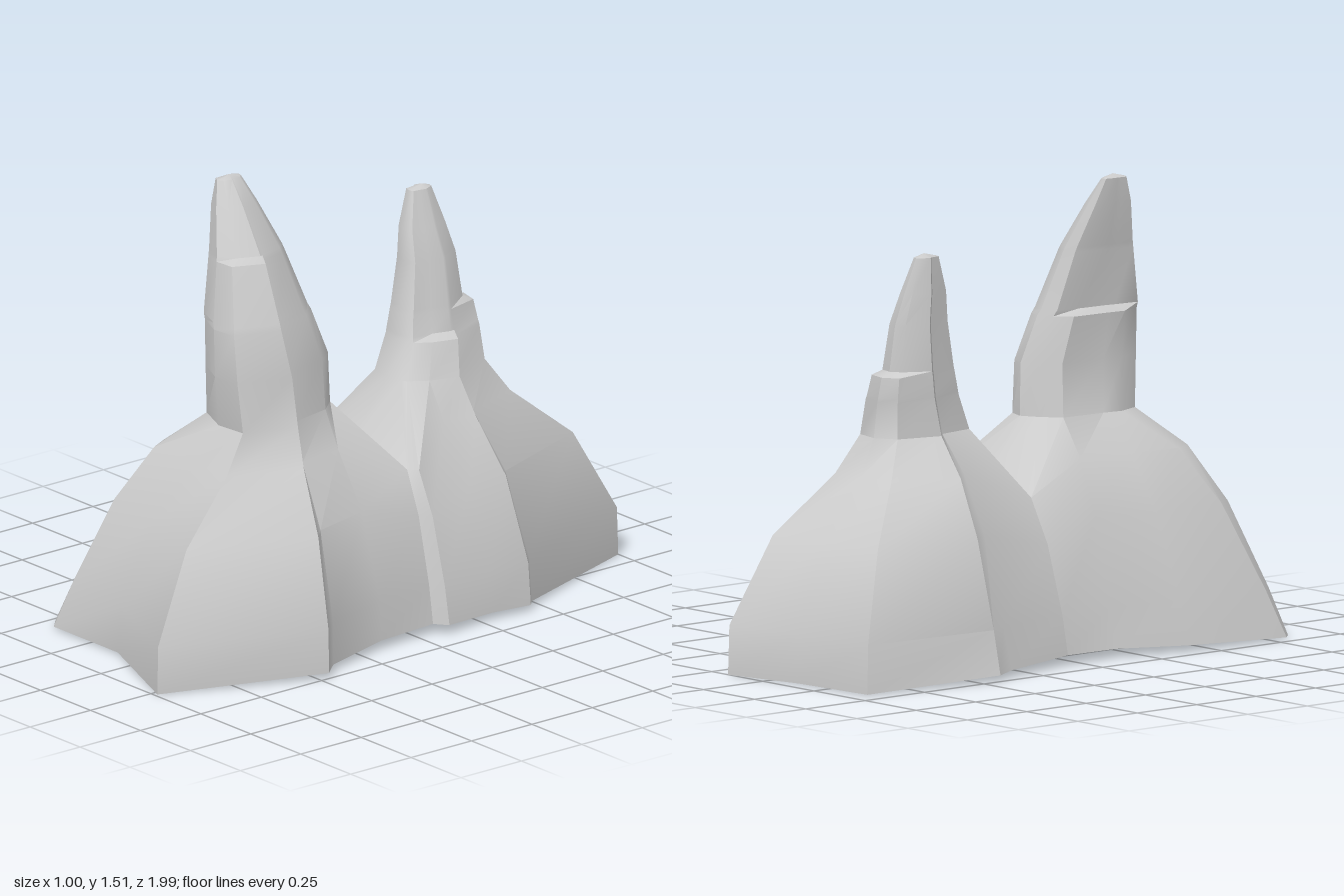
import * as THREE from 'three';
import { toCreasedNormals } from 'three/addons/utils/BufferGeometryUtils.js';

const lerp = THREE.MathUtils.lerp;
const ROW_Y = [0, 0.16, 0.44, 0.62, 0.74];   // foot to neck
const STRAIGHT = [0, 0.14, 0.40, 0.64, 1];   // inward travel of a straight flank
const BULGED = [0, 0.01, 0.34, 0.81, 1];     // inward travel of a swollen flank
const SEAM = [0, 0.15, 0.55, 1];             // travel of a seam line to the saddle

// A column runs from foot to neck. ledge: height above which it steps inward.
const flank = (bx, bz, nx, nz, bulge, ledge = 9) => ({ bx, bz, nx, nz, bulge, ledge });
const seam = (bx, bz, sx, sz, nx, nz, sy = 0.52) => ({ bx, bz, sx, sz, nx, nz, sy, ledge: 9 });

// Lower slope of one column
function slopePoint(c, r) {
  const y0 = 0.035 * (1 - Math.abs(c.bz));
  if (r === 4) return [c.nx, ROW_Y[4], c.nz];
  if (c.sy) {
    const k = SEAM[r];
    return [lerp(c.bx, c.sx, k), lerp(y0, c.sy, ROW_Y[r] / ROW_Y[3]), lerp(c.bz, c.sz, k)];
  }
  const k = lerp(STRAIGHT[r], BULGED[r], c.bulge);
  return [lerp(c.bx, c.nx, k), r ? ROW_Y[r] : y0, lerp(c.bz, c.nz, k)];
}

// Spire rings fit the neck outline into [y, xMin, xMax, zMin, zMax]
function spirePoint(c, neck, [y, x0, x1, z0, z1]) {
  const u = (c.nx - neck[1]) / (neck[2] - neck[1]);
  const v = (c.nz - neck[3]) / (neck[4] - neck[3]);
  const s = y > c.ledge ? 0.74 : 1;
  return [
    lerp(x0, x1, 0.5 + (u - 0.5) * s), y,
    lerp(z0, z1, 0.5 + (v - 0.5) * s),
  ];
}

// Skin a mound: the last column is the saddle and starts at the shoulder
function mound(name, columns, neck, rings) {
  const n = columns.length;
  const rows = ROW_Y.map((_, r) => columns.map((c) => slopePoint(c, r)));
  rings.forEach((ring) => rows.push(columns.map((c) => spirePoint(c, neck, ring))));
  const index = [];
  for (let r = 0; r < rows.length - 1; r++) {
    for (let i = 0; i < n; i++) {
      if (r < 3 && i >= n - 2) continue; // open towards the other mound
      const j = (i + 1) % n;
      const a = r * n + i, b = r * n + j;
      index.push(a, b, b + n, a, b + n, a + n);
    }
  }
  // Blunt tip
  const positions = rows.flat();
  const [y, x0, x1, z0, z1] = rings[rings.length - 1];
  const tip = positions.length, last = tip - n;
  positions.push([(x0 + x1) / 2, y + 0.012, (z0 + z1) / 2]);
  for (let i = 0; i < n; i++) index.push(last + i, last + (i + 1) % n, tip);

  const geo = new THREE.BufferGeometry();
  geo.setAttribute('position', new THREE.Float32BufferAttribute(positions.flat(), 3));
  geo.setIndex(index);
  const material = new THREE.MeshStandardMaterial({ color: 0xcccccc, side: THREE.DoubleSide });
  const mesh = new THREE.Mesh(toCreasedNormals(geo, 0.55), material);
  mesh.name = name;
  return mesh;
}

export function createModel() {
  const group = new THREE.Group();
  group.name = 'rockFormation';

  // Tall front mound: left seam, round the front, right seam, saddle
  group.add(mound('frontSpire', [
    seam(-0.40, -0.06, -0.22, -0.06, -0.05, 0.12),
    flank(-0.39, 0.15, -0.11, 0.17, 0.2, 1.07),
    flank(-0.45, 0.41, -0.12, 0.33, 0.2, 1.07),
    flank(-0.47, 0.80, -0.13, 0.40, 0.1, 1.07),
    flank(-0.43, 0.84, -0.10, 0.48, 0.1),
    flank(-0.11, 0.84, 0.02, 0.53, 0.8),
    flank(0.27, 0.99, 0.13, 0.52, 1, 1.27),
    flank(0.50, 0.47, 0.20, 0.35, 1, 1.27),  // proud slab edge
    flank(0.45, 0.41, 0.15, 0.32, 1),
    flank(0.39, 0.16, 0.12, 0.17, 0.8),
    seam(0.38, -0.06, 0.25, -0.06, 0.07, 0.11),
    seam(0, -0.05, 0, -0.05, 0.01, 0.09, 0.57),
  ], [0.74, -0.13, 0.20, 0.09, 0.53], [
    [0.91, -0.11, 0.19, 0.10, 0.55],
    [1.06, -0.12, 0.15, 0.15, 0.535],
    [1.08, -0.13, 0.145, 0.16, 0.53],
    [1.265, -0.14, 0.07, 0.22, 0.485],
    [1.28, -0.142, 0.063, 0.225, 0.48],
    [1.42, -0.16, -0.03, 0.28, 0.44],
    [1.50, -0.158, -0.10, 0.315, 0.41],
  ]));

  // Lower back mound: right seam step, round the back, left seam, saddle
  group.add(mound('backSpire', [
    seam(0.38, -0.06, 0.25, -0.06, 0.06, -0.19),
    seam(0.42, -0.095, 0.28, -0.085, 0.08, -0.20),
    flank(0.40, -0.29, 0.12, -0.26, 0.8, 0.86),
    flank(0.41, -0.44, 0.15, -0.36, 0.8, 0.86),  // proud slab edge
    flank(0.38, -0.47, 0.11, -0.38, 0.8),
    flank(0.17, -1.0, 0.07, -0.53, 1, 0.94),
    flank(-0.11, -0.95, -0.02, -0.55, 1, 0.94),
    flank(-0.43, -0.93, -0.09, -0.51, 0.9, 0.94),
    flank(-0.50, -0.43, -0.13, -0.36, 0.2),
    flank(-0.46, -0.35, -0.10, -0.33, 0.2),
    seam(-0.40, -0.06, -0.22, -0.06, -0.08, -0.20),
    seam(0, -0.05, 0, -0.05, 0, -0.18, 0.57),
  ], [0.74, -0.13, 0.15, -0.55, -0.18], [
    [0.855, -0.12, 0.12, -0.54, -0.225],
    [0.87, -0.12, 0.11, -0.54, -0.23],
    [0.935, -0.115, 0.09, -0.53, -0.245],
    [0.95, -0.115, 0.085, -0.53, -0.25],
    [1.10, -0.11, 0.05, -0.51, -0.28],
    [1.20, -0.11, 0.01, -0.48, -0.295],
    [1.315, -0.105, -0.04, -0.435, -0.335],
  ]));

  return group;
}
